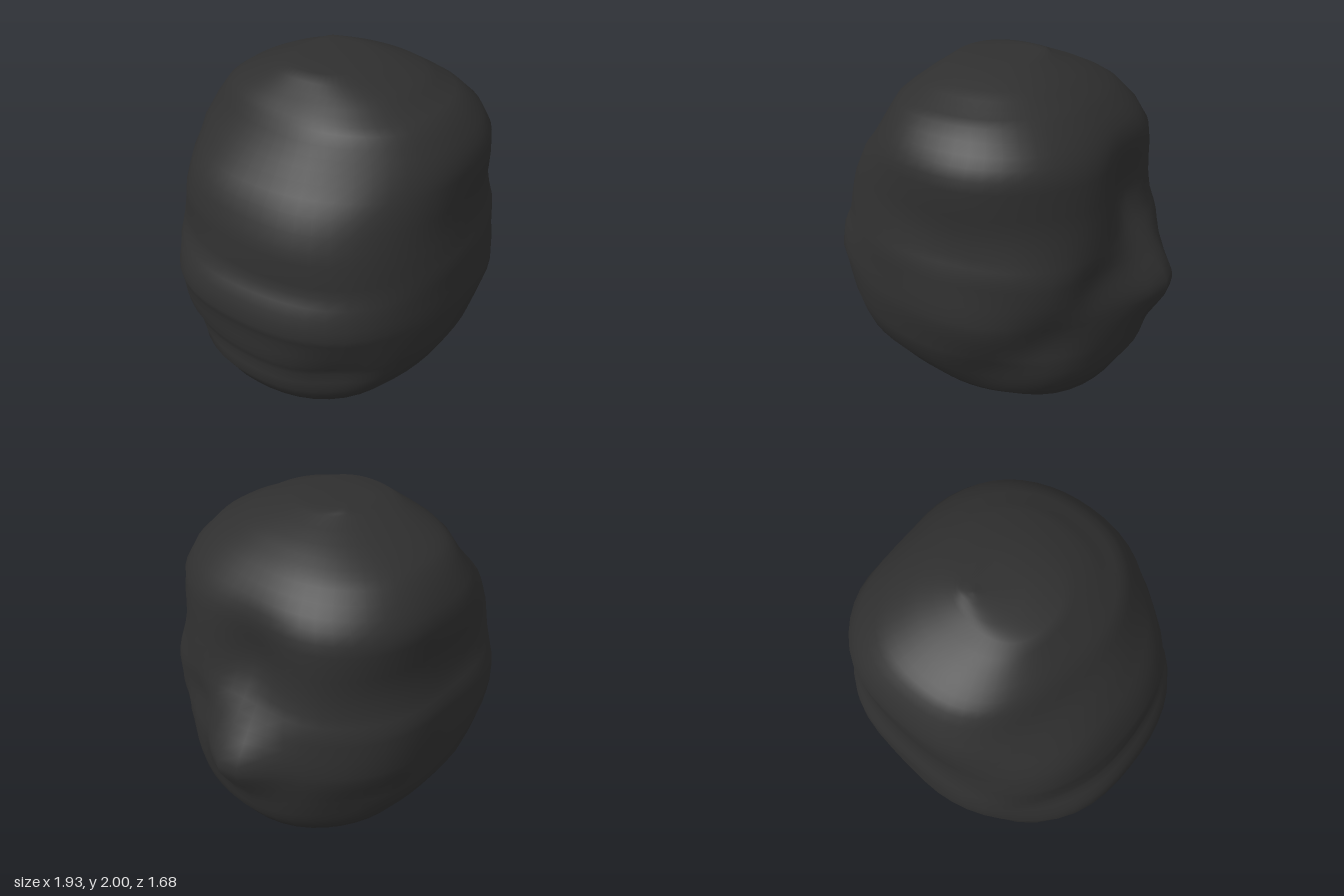
import * as THREE from 'three';

// Cross-sections from bottom to top: [y, xMin, xMax, zMin, zMax]
const SECTIONS = [
  [0.0, -0.1, -0.08, -0.01, 0.01],
  [0.01, -0.2, 0.03, -0.12, 0.13],
  [0.1, -0.38, 0.22, -0.29, 0.28],
  [0.18, -0.6, 0.41, -0.5, 0.5],
  [0.21, -0.74, 0.59, -0.57, 0.57],
  [0.29, -0.84, 0.73, -0.65, 0.64],
  [0.43, -0.92, 0.8, -0.74, 0.74],
  [0.56, -0.92, 0.82, -0.8, 0.8],
  [0.65, -0.95, 0.83, -0.82, 0.82],
  [0.8, -0.96, 0.84, -0.845, 0.85],
  [0.89, -0.985, 0.84, -0.845, 0.85],
  [1.0, -0.96, 0.83, -0.84, 0.84],
  [1.1, -0.9, 0.82, -0.83, 0.83],
  [1.2, -0.89, 0.8, -0.79, 0.8],
  [1.33, -0.87, 0.78, -0.77, 0.775],
  [1.48, -0.8, 0.75, -0.775, 0.775],
  [1.6, -0.69, 0.71, -0.77, 0.77],
  [1.7, -0.6, 0.64, -0.72, 0.72],
  [1.8, -0.53, 0.53, -0.64, 0.63],
  [1.85, -0.48, 0.46, -0.56, 0.53],
  [1.91, -0.4, 0.36, -0.43, 0.42],
  [1.975, -0.31, 0.2, -0.26, 0.21],
  [1.995, -0.03, 0.12, -0.19, -0.08],
  [2.0, 0.03, 0.05, -0.15, -0.13],
];

// Dents and bumps: [x, y, z, radius, depth]; negative depth pushes outward
const DENTS = [
  [0.72, 1.3, -0.12, 0.26, 0.15],
  [0.72, 0.98, 0.28, 0.16, 0.06],
  [0.6, 0.75, 0.5, 0.16, 0.06],
  [0.4, 0.5, 0.68, 0.18, 0.05],
  [0.87, 0.86, -0.13, 0.2, -0.15],
  [-0.75, 0.58, 0.5, 0.18, 0.05],
  [-0.6, 1.5, 0.4, 0.25, 0.03],
  [-0.5, 0.5, -0.65, 0.2, 0.05],
  [0.5, 0.55, -0.6, 0.2, 0.04],
];

function surfacePoint(section, angle) {
  const [y, x0, x1, z0, z1] = section;
  const cx = (x0 + x1) / 2, cz = (z0 + z1) / 2;
  const c = Math.cos(angle), s = Math.sin(angle), n = 2.35;
  const r = Math.pow(
    Math.pow(Math.abs(c) / ((x1 - x0) / 2), n) + Math.pow(Math.abs(s) / ((z1 - z0) / 2), n), -1 / n);
  const p = new THREE.Vector3(cx + r * c, y, cz + r * s);

  // Gentle uneven stone surface
  const wave = Math.sin(p.x * 7 + p.y * 5) * Math.sin(p.z * 6 - p.y * 4 + 1) + Math.sin(p.y * 9 + angle * 3) * 0.5;
  let push = -0.012 * r * (1 + wave);
  for (const [x, dy, z, radius, depth] of DENTS) {
    const d2 = (p.x - x) ** 2 + (p.y - dy) ** 2 + (p.z - z) ** 2;
    push -= depth * Math.exp(-d2 / (radius * radius));
  }
  p.x += c * push;
  p.z += s * push;
  return p;
}

function boulderGeometry(sides = 56, steps = 2) {
  // Add one in-between ring per pair of sections
  const rings = [];
  SECTIONS.forEach((a, j) => {
    const b = SECTIONS[j + 1];
    if (!b) return rings.push(a);
    for (let k = 0; k < steps; k++) rings.push(a.map((v, m) => THREE.MathUtils.lerp(v, b[m], k / steps)));
  });

  const positions = [], index = [];
  rings.forEach((ring, j) => {
    for (let i = 0; i < sides; i++) {
      const p = surfacePoint(ring, (i / sides) * Math.PI * 2);
      positions.push(p.x, p.y, p.z);
      if (j === rings.length - 1) continue;
      const a = j * sides + i, b = j * sides + ((i + 1) % sides);
      index.push(a, a + sides, b, b, a + sides, b + sides);
    }
  });

  // Close both ends
  const last = (rings.length - 1) * sides;
  for (let i = 1; i < sides - 1; i++) {
    index.push(0, i, i + 1);
    index.push(last, last + i + 1, last + i);
  }

  const geometry = new THREE.BufferGeometry();
  geometry.setAttribute('position', new THREE.Float32BufferAttribute(positions, 3));
  geometry.setIndex(index);
  geometry.computeVertexNormals();
  return geometry;
}

export function createModel() {
  const group = new THREE.Group();
  group.name = 'rock';
  const stone = new THREE.MeshStandardMaterial({ color: 0x2f2f2f });
  stone.name = 'dark stone';
  const boulder = new THREE.Mesh(boulderGeometry(), stone);
  boulder.name = 'boulder';
  group.add(boulder);
  return group;
}
